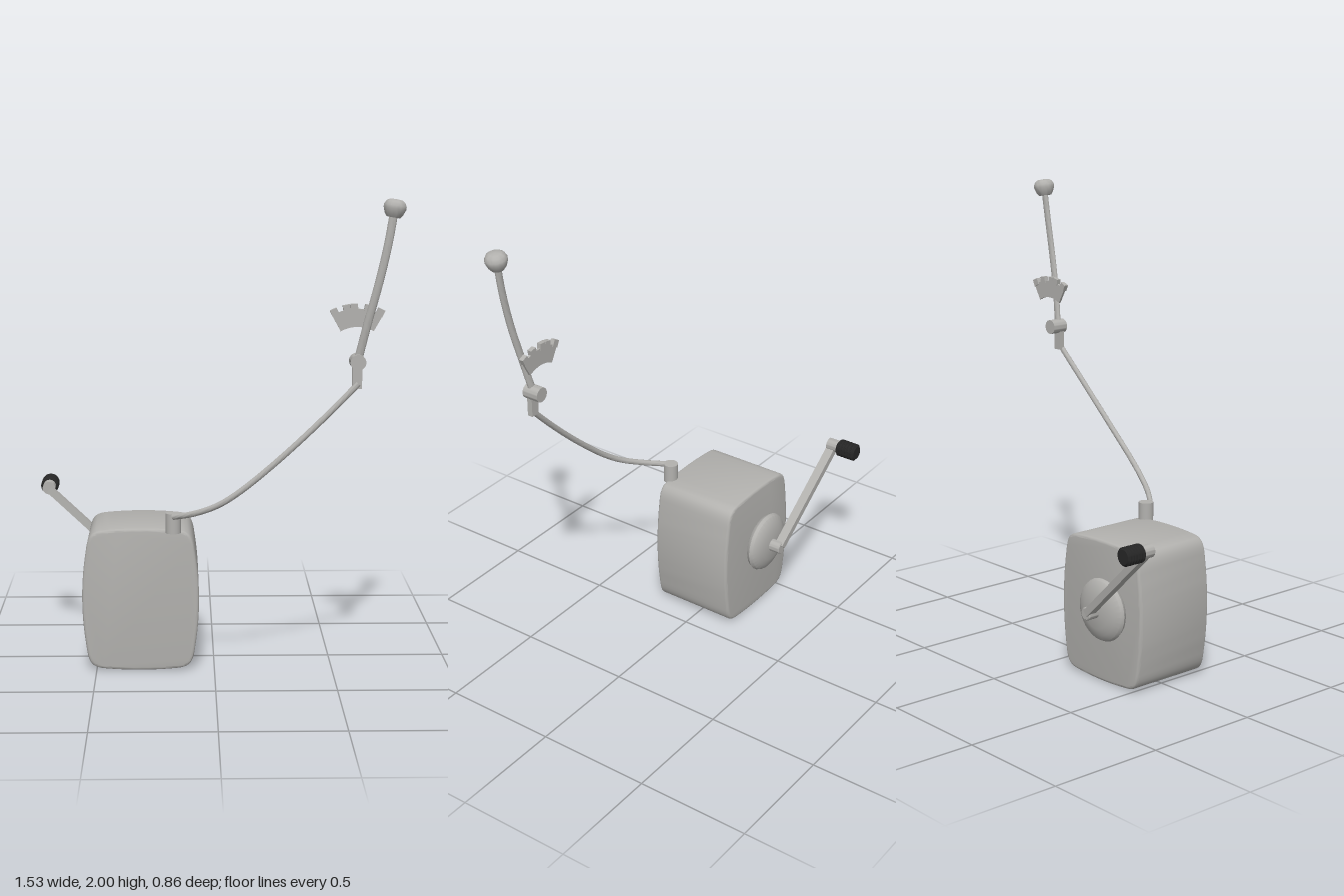
import * as THREE from 'three';
import { toCreasedNormals } from 'three/addons/utils/BufferGeometryUtils.js';

const metal = new THREE.MeshStandardMaterial({ color: 0xb2b1ae });
metal.name = 'grey metal';
const rubber = new THREE.MeshStandardMaterial({ color: 0x262626 });
rubber.name = 'black rubber';

const V = (x, y, z) => new THREE.Vector3(x, y, z);

export function createModel() {
  const model = new THREE.Group();
  model.name = 'crankReel';

  function add(name, geometry, material = metal, position = [0, 0, 0]) {
    const mesh = new THREE.Mesh(geometry, material);
    mesh.name = name;
    mesh.position.set(...position);
    model.add(mesh);
    return mesh;
  }

  // Turned part whose axis runs towards the back; profile is [radius, distance]
  function turned(name, profile, position, material = metal) {
    const points = profile.map(([r, d]) => new THREE.Vector2(r, d));
    const geometry = toCreasedNormals(new THREE.LatheGeometry(points, 32), 0.6);
    const mesh = add(name, geometry, material, position);
    mesh.rotation.x = -Math.PI / 2;
    return mesh;
  }

  // Tube with a flattened oval section and closed ends
  function rod(name, points, width, depth, segments) {
    const curve = new THREE.CatmullRomCurve3(points);
    const sides = 14, pos = [], index = [];
    for (let i = 0; i <= segments; i++) {
      const p = curve.getPointAt(i / segments), t = curve.getTangentAt(i / segments);
      const across = V(0, 0, 1).cross(t).normalize();
      const out = t.clone().cross(across);
      for (let j = 0; j < sides; j++) {
        const a = (j / sides) * Math.PI * 2;
        const q = p.clone().addScaledVector(across, Math.cos(a) * width).addScaledVector(out, Math.sin(a) * depth);
        pos.push(q.x, q.y, q.z);
        if (i < segments) {
          const a0 = i * sides + j, b0 = i * sides + (j + 1) % sides;
          index.push(a0, b0, a0 + sides, b0, b0 + sides, a0 + sides);
        }
      }
    }
    const last = segments * sides;
    for (let j = 1; j < sides - 1; j++) index.push(0, j + 1, j, last, last + j, last + j + 1);
    const geometry = new THREE.BufferGeometry();
    geometry.setAttribute('position', new THREE.Float32BufferAttribute(pos, 3));
    geometry.setIndex(index);
    return add(name, toCreasedNormals(geometry, 0.8));
  }

  // Housing with bulging sides and softened rims
  const w = 0.247, h = 0.308, bevel = 0.012;
  const outline = new THREE.Shape();
  outline.moveTo(-0.16, h - 0.008);
  outline.quadraticCurveTo(0, h + 0.008, 0.16, h - 0.008);
  outline.bezierCurveTo(0.205, h - 0.014, 0.222, h - 0.03, 0.23, 0.21);
  outline.quadraticCurveTo(w + 0.017, 0, 0.23, -0.21);
  outline.bezierCurveTo(0.222, 0.03 - h, 0.205, 0.014 - h, 0.16, 0.008 - h);
  outline.quadraticCurveTo(0, -h - 0.008, -0.16, 0.008 - h);
  outline.bezierCurveTo(-0.205, 0.014 - h, -0.222, 0.03 - h, -0.23, -0.21);
  outline.quadraticCurveTo(-w - 0.017, 0, -0.23, 0.21);
  outline.bezierCurveTo(-0.222, h - 0.03, -0.205, h - 0.014, -0.16, h - 0.008);
  const housing = new THREE.ExtrudeGeometry(outline, {
    depth: 0.385 - 2 * bevel, bevelSize: bevel, bevelOffset: -bevel, bevelThickness: bevel,
    bevelSegments: 3, curveSegments: 10,
  });
  add('housing', toCreasedNormals(housing, 0.6), metal, [-0.312, 0.31, -0.173 + bevel]);

  // Crank: domed disc, hub, slanted arm and grip
  turned('crankDisc', [[0, 0], [0.11, 0], [0.127, 0.01], [0.135, 0.026], [0.128, 0.04], [0.105, 0.053], [0.075, 0.063], [0, 0.067]],
    [-0.348, 0.33, -0.17]);
  const pin = [[0, 0], [0.028, 0], [0.028, 0.054], [0.024, 0.058], [0, 0.058]];
  turned('crankHub', pin, [-0.343, 0.33, -0.228]);
  const armStart = V(-0.348, 0.335, -0.272), armEnd = V(-0.727, 0.685, -0.302);
  const armGeometry = new THREE.BoxGeometry(0.03, 0.04, armStart.distanceTo(armEnd));
  const arm = add('crankArm', armGeometry);
  arm.position.copy(armStart).add(armEnd).multiplyScalar(0.5);
  arm.up.set(0, 0, 1);
  arm.lookAt(armEnd);
  turned('gripHub', pin, [-0.728, 0.693, -0.282]);
  const grip = [[0, 0], [0.031, 0]];
  for (let i = 0; i < 6; i++) {
    const d = 0.004 + i * 0.0145;
    grip.push([0.034, d], [0.039, d + 0.003], [0.039, d + 0.009], [0.034, d + 0.012]);
  }
  grip.push([0.03, 0.093], [0, 0.093]);
  turned('grip', grip, [-0.728, 0.693, -0.335], rubber);

  // Post on the housing and the long curved rod
  const post = new THREE.CylinderGeometry(0.032, 0.032, 0.085, 28);
  add('post', post, metal, [-0.173, 0.643, 0.208]);
  rod('longRod', [
    V(-0.173, 0.674, 0.235), V(-0.09, 0.7, 0.295), V(0.01, 0.745, 0.343), V(0.1, 0.806, 0.364),
    V(0.25, 0.932, 0.373), V(0.42, 1.09, 0.371), V(0.582, 1.252, 0.36),
  ], 0.0125, 0.0115, 48);

  // Joint and pivot at the end of the rod
  add('joint', new THREE.BoxGeometry(0.04, 0.085, 0.024), metal, [0.577, 1.275, 0.353]);
  turned('pivot', [[0, 0], [0.032, 0], [0.032, 0.075], [0, 0.075]], [0.58, 1.34, 0.375]);

  // Lever with its knob
  rod('lever', [
    V(0.58, 1.345, 0.347), V(0.616, 1.5, 0.366), V(0.657, 1.66, 0.379), V(0.692, 1.82, 0.383), V(0.713, 1.945, 0.382),
  ], 0.017, 0.011, 30);
  const knobProfile = [[0, -0.036], [0.028, -0.036], [0.038, -0.022], [0.046, 0], [0.046, 0.012], [0.038, 0.027], [0.026, 0.035], [0, 0.037]]
    .map(([r, y]) => new THREE.Vector2(r, y));
  const knob = add('knob', toCreasedNormals(new THREE.LatheGeometry(knobProfile, 28), 0.6), metal, [0.716, 1.962, 0.382]);
  knob.rotation.z = -0.17;

  // Notched quadrant behind the lever
  const sector = new THREE.Shape();
  const mid = Math.PI / 2, half = 0.51;
  sector.absarc(0, 0, 0.212, mid - half, mid + half, false);
  sector.absarc(0, 0, 0.138, mid + half, mid - half, true);
  sector.closePath();
  const plate = new THREE.ExtrudeGeometry(sector, { depth: 0.01, bevelEnabled: false, curveSegments: 14 });
  add('quadrant', plate, metal, [0.58, 1.34, 0.297]);
  for (const angle of [-0.44, -0.2, 0.06, 0.2, 0.44]) {
    const tooth = add('quadrantTooth', new THREE.BoxGeometry(0.03, 0.03, 0.02), metal,
      [0.58 - Math.sin(angle) * 0.218, 1.34 + Math.cos(angle) * 0.218, 0.303]);
    tooth.rotation.z = angle;
  }
  return model;
}
